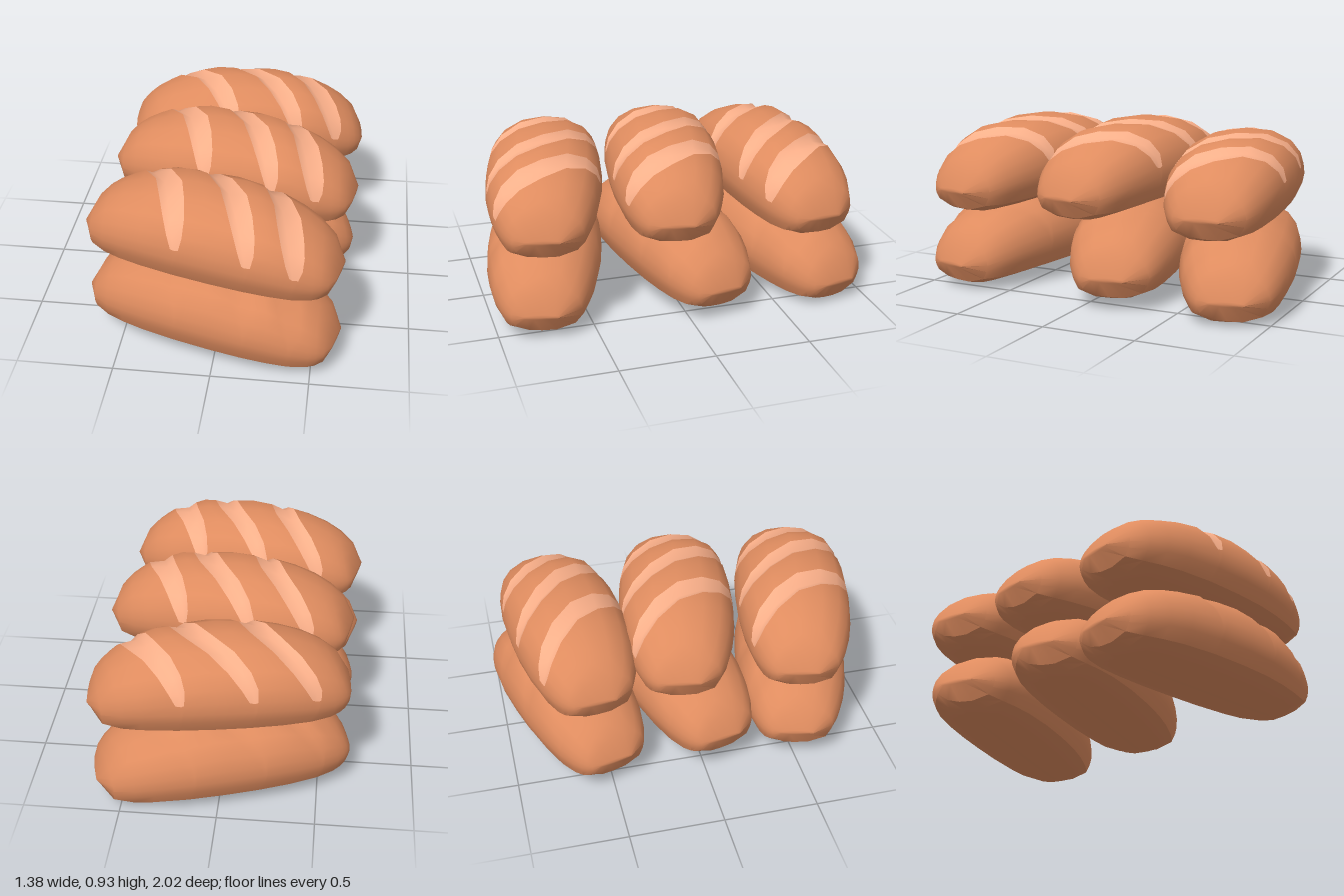
import * as THREE from 'three';
import { toCreasedNormals } from 'three/addons/utils/BufferGeometryUtils.js';

const HALF = 0.665; // half length of a loaf
const WIDTH = 0.31; // half width
const CUTS = [-0.25, 0.09, 0.37];
const CUT_WIDTH = 0.14;

// Half of the cross-section: [sideways fraction, height fraction], bottom to top
const side = [[0, 0], [0.4, 0.015], [0.85, 0.14], [0.96, 0.3], [1, 0.43], [0.98, 0.55], [0.92, 0.69], [0.75, 0.84], [0.43, 0.96], [0, 1]];
const section = [...side, ...side.slice(1, -1).reverse().map(([z, y]) => [-z, y])];
const N = section.length;

// Rows along the loaf: position, share of the cut width, rise (negative in a cut)
function makeRows(depth) {
  const plainRow = (s) => ({ s, k: 0, rise: 0 });
  const rows = [-0.665, -0.62, -0.56, -0.49, -0.4].map(plainRow);
  CUTS.forEach((s, i) => {
    rows.push({ s, k: -0.5, rise: 0.004, cut: true }, { s, k: -0.15, rise: -depth, cut: true }, { s, k: 0.5, rise: 0.004 });
    if (i < 2) rows.push({ s: (s + CUTS[i + 1]) / 2, k: 0, rise: 0.013 });
  });
  return rows.concat([0.5, 0.56, 0.62, 0.665].map(plainRow));
}

// Point on the loaf; rows lean diagonally so that the cuts run obliquely
function loafPoint({ s, k, rise }, [zf, yf]) {
  const up = Math.max(0, (yf - 0.48) / 0.52) ** 0.6;
  const lean = zf * (zf < 0 ? 0.28 : 0.18) * (1 - (s / HALF) ** 2);
  const x = s + k * CUT_WIDTH * Math.max(0.15, up) + lean;
  const t = Math.min(1, Math.abs(x) / HALF);
  const w = WIDTH * (0.3 + 0.7 * Math.sqrt(1 - t ** 2.3));
  const top = 0.15 + 0.3 * (1 - t ** 2.5) ** 0.58;
  const bottom = 0.125 * (1 - Math.sqrt(1 - t ** 10));
  const y = bottom + (top - bottom) * yf + rise * up;
  return [x, y, w * zf * (1 + Math.min(0, rise) * up)];
}

function makeGeometry(positions, index, crease) {
  const g = new THREE.BufferGeometry();
  g.setAttribute('position', new THREE.Float32BufferAttribute(positions, 3));
  g.setIndex(index);
  return toCreasedNormals(g, crease);
}

function buildLoafGeometries(depth, withCuts) {
  const rows = makeRows(depth);
  const positions = rows.flatMap((r) => section.flatMap((p) => loafPoint(r, p)));
  const crust = [], cuts = [];
  for (let i = 0; i < rows.length - 1; i++) {
    for (let j = 0; j < N; j++) {
      const n = (j + 1) % N;
      const a = i * N + j, b = a + N, c = (i + 1) * N + n, d = i * N + n;
      const open = withCuts && rows[i].cut && section[j][1] >= 0.55 && section[n][1] >= 0.55;
      (open ? cuts : crust).push(a, b, c, a, c, d);
    }
  }
  // End caps
  const last = (rows.length - 1) * N, centre = rows.length * N;
  positions.push(-HALF - 0.004, 0.138, 0, HALF + 0.004, 0.138, 0);
  for (let j = 0; j < N; j++) {
    const n = (j + 1) % N;
    crust.push(centre, j, n, centre + 1, last + n, last + j);
  }
  return { crust: makeGeometry(positions, crust, 0.7), cuts: withCuts ? makeGeometry(positions, cuts, 1.5) : null };
}

export function createModel() {
  const model = new THREE.Group();
  model.name = 'breadStack';
  const crustMaterial = new THREE.MeshStandardMaterial({ color: 0xdf8c5f });
  const cutMaterial = new THREE.MeshStandardMaterial({ color: 0xfbb08a });
  const plain = buildLoafGeometries(0.012, false);
  const scored = buildLoafGeometries(0.02, true);

  // Name, position, slope in plan, shape
  const loaves = [
    ['lowerFrontLoaf', -0.03, 0.045, 0.64, 0.24, plain],
    ['lowerMiddleLoaf', 0, 0.07, -0.04, -0.2, plain],
    ['lowerBackLoaf', 0, 0.025, -0.655, -0.25, plain],
    ['upperFrontLoaf', -0.03, 0.45, 0.63, 0.22, scored],
    ['upperMiddleLoaf', 0.01, 0.47, -0.02, 0.17, scored],
    ['upperBackLoaf', 0.015, 0.43, -0.63, -0.1, scored],
  ];
  for (const [name, x, y, z, slope, shape] of loaves) {
    const loaf = new THREE.Group();
    loaf.name = name;
    const crust = new THREE.Mesh(shape.crust, crustMaterial);
    crust.name = 'crust';
    loaf.add(crust);
    if (shape.cuts) {
      const cuts = new THREE.Mesh(shape.cuts, cutMaterial);
      cuts.name = 'scoreCuts';
      loaf.add(cuts);
    }
    loaf.position.set(x, y, z);
    loaf.rotation.set(0, -slope, -0.05, 'YXZ');
    model.add(loaf);
  }
  return model;
}
